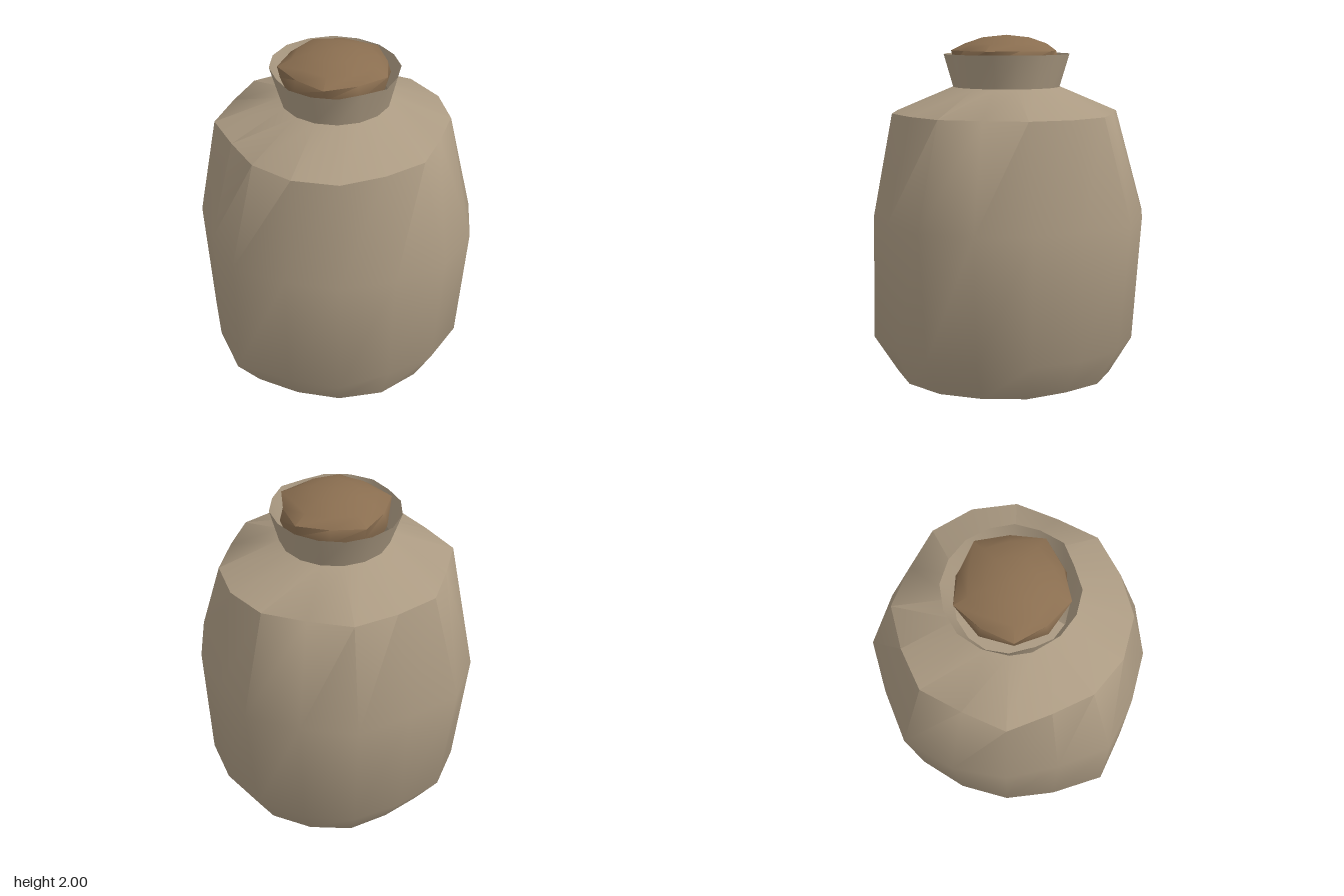
import * as THREE from 'three';
import { toCreasedNormals } from 'three/addons/utils/BufferGeometryUtils.js';

// Skins uneven rings [height, radii] from bottom to top; a radius list is
// walked from +x towards +z. Optional base and tip heights close the ends.
function loft(rings, { turn = 0, base, tip, crease = 0.88 } = {}) {
  const n = rings[0][1].length;
  const pos = [], index = [];
  for (const [y, radii] of rings) {
    radii.forEach((r, i) => {
      const a = turn + (i / n) * Math.PI * 2;
      pos.push(r * Math.cos(a), y, r * Math.sin(a));
    });
  }
  const last = (rings.length - 1) * n;
  for (let j = 0; j < last; j += n) {
    for (let i = 0; i < n; i++) {
      const k = (i + 1) % n;
      index.push(j + i, j + n + i, j + k, j + k, j + n + i, j + n + k);
    }
  }
  if (base !== undefined) {
    const c = pos.length / 3;
    pos.push(0, base, 0);
    for (let i = 0; i < n; i++) index.push(c, i, (i + 1) % n);
  }
  if (tip !== undefined) {
    const c = pos.length / 3;
    pos.push(0, tip, 0);
    for (let i = 0; i < n; i++) index.push(c, last + (i + 1) % n, last + i);
  }
  const geo = new THREE.BufferGeometry();
  geo.setAttribute('position', new THREE.Float32BufferAttribute(pos, 3));
  geo.setIndex(index);
  return toCreasedNormals(geo, crease);
}

export function createModel() {
  const burlap = new THREE.MeshStandardMaterial({ color: 0xab9a82, side: THREE.DoubleSide });
  burlap.name = 'burlap';
  const filling = new THREE.MeshStandardMaterial({ color: 0x8a6e50 });
  filling.name = 'filling';

  const group = new THREE.Group();
  group.name = 'sack';
  const add = (name, geometry, material) => {
    const mesh = new THREE.Mesh(geometry, material);
    mesh.name = name;
    group.add(mesh);
  };

  // Lumpy cloth rings
  const foot = [.615, .64, .64, .66, .67, .66, .65, .68, .66, .66, .65, .62, .60, .63, .63, .64];
  const low = [.76, .77, .78, .78, .75, .80, .78, .845, .77, .76, .75, .77, .745, .77, .76, .77];
  const belly = [.77, .80, .83, .84, .80, .79, .785, .84, .78, .80, .82, .855, .80, .84, .81, .845];
  const shoulder = [.665, .66, .62, .66, .645, .675, .67, .655, .63, .69, .64, .675, .645, .67, .63, .665];
  const neck = Array(16).fill(.315);
  const rim = [.36, .365, .36, .375, .35, .37, .37, .37, .355, .37, .38, .385, .38, .38, .37, .365];

  // Bulging body, closed below and open at the neck
  add('sackBody', loft([[0, foot], [.22, low], [.95, belly], [1.55, shoulder], [1.7, neck]], { base: 0 }), burlap);

  // Flared open mouth
  add('collar', loft([[1.7, neck], [1.89, rim]]), burlap);

  // Faceted heap inside the mouth, roughly five-cornered at its widest
  const fivePoint = (odd, even) => Array.from({ length: 10 }, (_, i) => (i % 2 ? odd : even));
  add('contents', loft([
    [1.76, fivePoint(.28, .28)],
    [1.84, fivePoint(.31, .31)],
    [1.91, fivePoint(.325, .29)],
    [1.95, fivePoint(.245, .235)],
    [1.985, fivePoint(.14, .135)],
  ], { turn: Math.PI / 10, base: 1.76, tip: 2, crease: 1 }), filling);

  return group;
}
